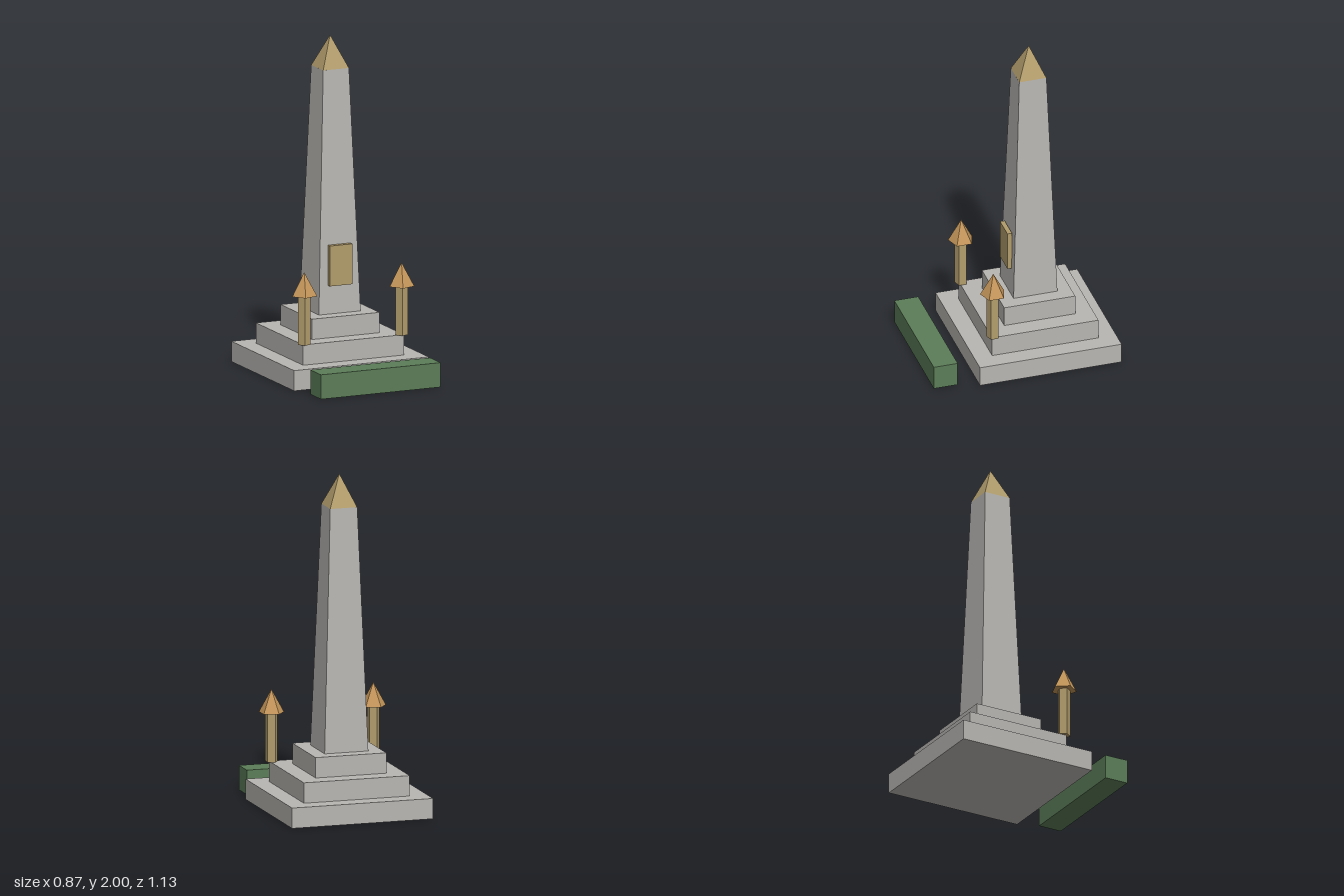
import * as THREE from 'three';

const material = (name, color) => {
  const m = new THREE.MeshStandardMaterial({ color });
  m.name = name;
  return m;
};

export function createModel() {
  const stone = material('stone', 0xb8b6b2);
  const bronze = material('bronze', 0xb29d6c);
  const copper = material('copper', 0xc4965a);
  const leaf = material('hedge green', 0x5b7d58);

  const model = new THREE.Group();
  model.name = 'obeliskMonument';
  const CZ = -0.134; // centre of the monument in z

  const add = (name, geometry, mat, x, y, z, parent = model) => {
    const mesh = new THREE.Mesh(geometry, mat);
    mesh.name = name;
    mesh.position.set(x, y, z);
    parent.add(mesh);
    return mesh;
  };

  // Flat-sided frustum, from y = 0 up
  const prism = (rTop, rBottom, height, sides, turn) => {
    const g = new THREE.CylinderGeometry(rTop, rBottom, height, sides)
      .rotateY(turn).translate(0, height / 2, 0).toNonIndexed();
    g.computeVertexNormals();
    return g;
  };

  // Three stacked steps
  const STEP = 0.1215;
  [0.433, 0.325, 0.217].forEach((half, i) => {
    add(`step${i + 1}`, new THREE.BoxGeometry(half * 2, STEP, half * 2), stone, 0, STEP * (i + 0.5), CZ);
  });

  // Tapering shaft and pyramid cap
  const D = Math.SQRT2;
  add('shaft', prism(0.083 * D, 0.134 * D, 1.446, 4, Math.PI / 4), stone, 0, STEP * 3, CZ);
  add('cap', prism(0, 0.083 * D, 0.19, 4, Math.PI / 4), bronze, 0, 1.81, CZ);

  // Plaque on the front of the shaft
  add('plaque', new THREE.BoxGeometry(0.144, 0.241, 0.028), bronze, 0, 0.654, 0.004);

  // Five-sided lamps on the second step
  for (const side of [-1, 1]) {
    const lamp = new THREE.Group();
    lamp.name = side > 0 ? 'leftLamp' : 'rightLamp';
    lamp.position.set(side * 0.313, STEP * 2, 0.18);
    add('lampPost', prism(0.0385, 0.0385, 0.291, 5, -Math.PI / 2), bronze, 0, 0, 0, lamp);
    add('lampTop', prism(0, 0.077, 0.14, 5, -Math.PI / 2), copper, 0, 0.291, 0, lamp);
    model.add(lamp);
  }

  // Hedge in front
  add('hedge', new THREE.BoxGeometry(0.77, 0.146, 0.146), leaf, 0, 0.073, 0.493);

  return model;
}
